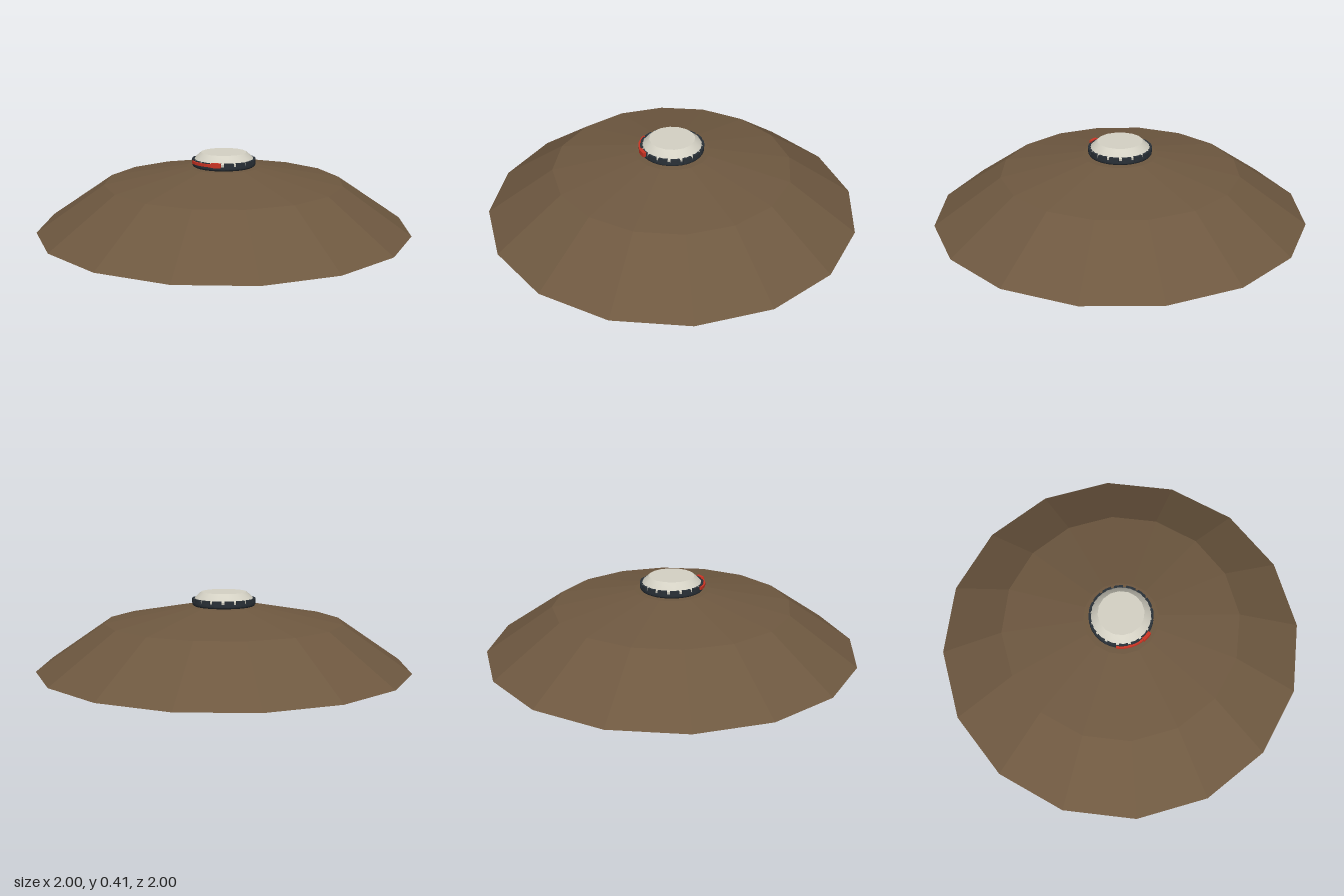
import * as THREE from 'three';
import { toCreasedNormals } from 'three/addons/utils/BufferGeometryUtils.js';

const mat = (color, flatShading = false) => new THREE.MeshStandardMaterial({ color, flatShading });
const soil = mat(0x6e5840, true);
const shell = mat(0xd4d1c4);
const rubber = mat(0x2a3138);
const red = mat(0xcc3424);

function add(parent, name, geometry, material) {
  const mesh = new THREE.Mesh(geometry, material);
  mesh.name = name;
  parent.add(mesh);
  return mesh;
}

// Solid of revolution from [radius, height] pairs, listed bottom to top
function lathe(points, sides) {
  return new THREE.LatheGeometry(points.map(([r, y]) => new THREE.Vector2(r, y)), sides);
}

// Curved bar between two radii, angles in degrees measured from the front towards +x
function arcBar(r0, r1, from, to, y, height) {
  const a = THREE.MathUtils.degToRad(from - 90);
  const b = THREE.MathUtils.degToRad(to - 90);
  const shape = new THREE.Shape();
  shape.absarc(0, 0, r1, a, b, false);
  shape.absarc(0, 0, r0, b, a, true);
  const geometry = new THREE.ExtrudeGeometry(shape, { depth: height, bevelEnabled: false, curveSegments: 4 });
  return geometry.rotateX(-Math.PI / 2).translate(0, y, 0);
}

export function createModel() {
  const model = new THREE.Group();
  model.name = 'buriedDisc';

  // Faceted earth mound
  add(model, 'mound', lathe([[0, 0.004], [1, 0.004], [0.64, 0.25], [0.2, 0.333], [0, 0.336]], 16), soil);

  // Pale domed body with a flat top
  const body = lathe([[0.15, 0.33], [0.161, 0.345], [0.163, 0.368], [0.152, 0.382], [0.122, 0.408], [0, 0.408]], 16);
  add(model, 'body', toCreasedNormals(body, 0.6), shell);

  // Dark lower band and the pads standing on it
  const band = lathe([[0.155, 0.33], [0.165, 0.336], [0.169, 0.342], [0.169, 0.354], [0.158, 0.356]], 32);
  add(model, 'band', toCreasedNormals(band, 0.6), rubber);
  const pads = new THREE.Group();
  pads.name = 'pads';
  model.add(pads);
  for (let i = 0; i < 16; i++) {
    const angle = i * 22.5;
    add(pads, 'pad', arcBar(0.155, 0.17, angle - 8.5, angle + 8.5, 0.35, 0.024), rubber);
  }

  // Red safety clip round the front right
  const clip = new THREE.Group();
  clip.name = 'safetyClip';
  model.add(clip);
  add(clip, 'clipArm', arcBar(0.168, 0.179, -58, 0, 0.356, 0.015), red);
  add(clip, 'clipBlock', arcBar(0.166, 0.184, -9, 8, 0.354, 0.024), red);

  // Tips of six anchors just showing under the mound
  const anchors = new THREE.Group();
  anchors.name = 'anchors';
  model.add(anchors);
  for (let i = 0; i < 6; i++) {
    const angle = i * Math.PI / 3;
    const tip = add(anchors, 'anchorTip', new THREE.BoxGeometry(0.024, 0.02, 0.008), rubber);
    tip.position.set(0.61 * Math.sin(angle), 0.01, 0.61 * Math.cos(angle));
    tip.rotation.y = angle;
  }
  return model;
}
